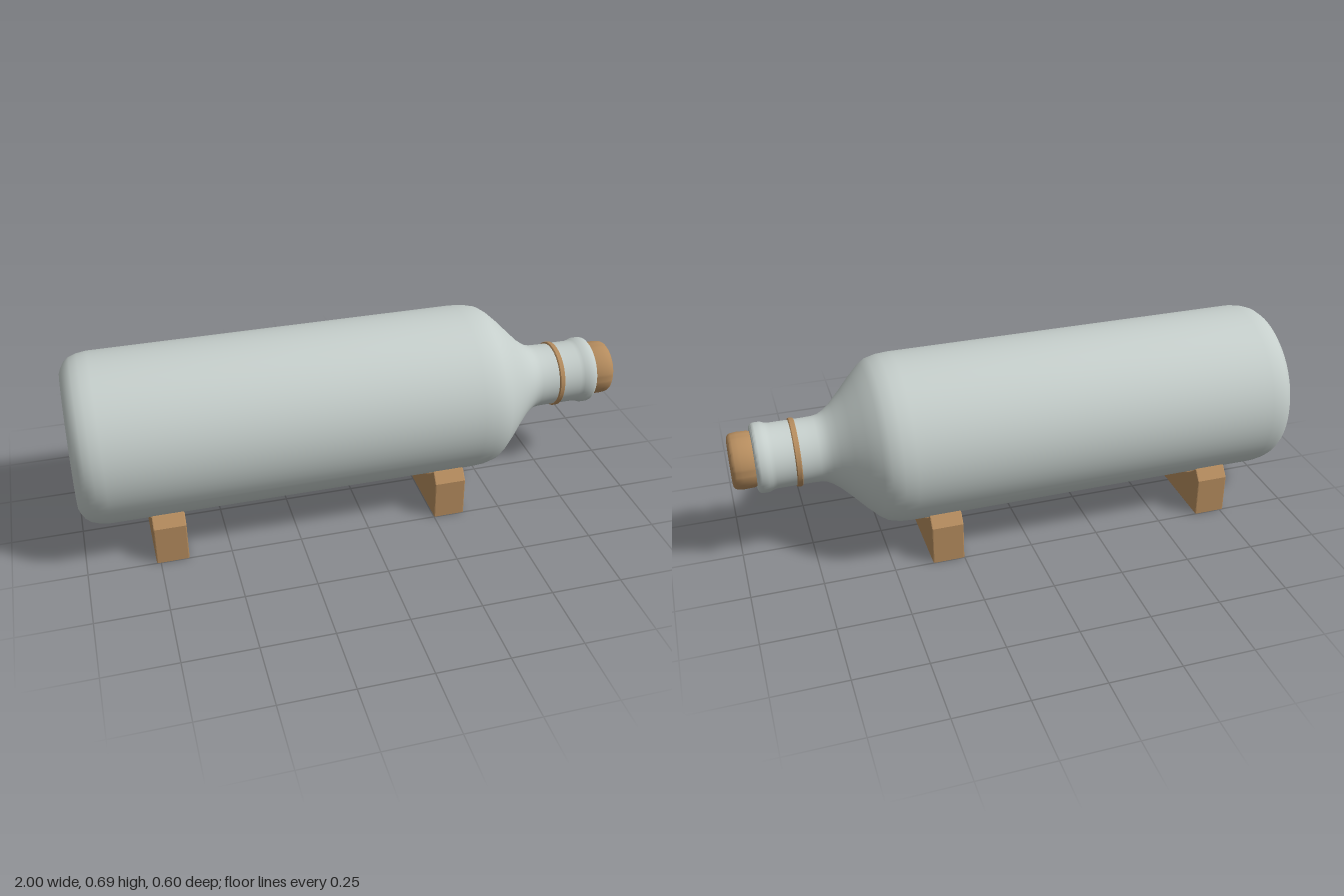
import * as THREE from 'three';
import { toCreasedNormals } from 'three/addons/utils/BufferGeometryUtils.js';

const AXIS_Y = 0.39;

export function createModel() {
  const model = new THREE.Group();
  model.name = 'bottleOnStand';
  const glass = new THREE.MeshStandardMaterial({ color: 0xc5cecb });
  glass.name = 'paleGlass';
  const wood = new THREE.MeshStandardMaterial({ color: 0xb58c5e });
  wood.name = 'wood';

  // Turned part lying along x; profile points are [x, radius]
  function turned(name, profile, material) {
    const points = profile.map(([x, r]) => new THREE.Vector2(r, x));
    const geometry = toCreasedNormals(new THREE.LatheGeometry(points, 64), 0.65);
    const mesh = new THREE.Mesh(geometry, material);
    mesh.name = name;
    mesh.rotation.z = -Math.PI / 2;
    mesh.position.y = AXIS_Y;
    model.add(mesh);
  }

  // Bottle: flat base, rounded heel, straight body, shoulder, neck and lip
  turned('bottle', [
    [-1, 0], [-1, 0.235], [-0.993, 0.252], [-0.98, 0.272], [-0.962, 0.286],
    [-0.935, 0.295], [-0.9, 0.3], [0.41, 0.3], [0.455, 0.297], [0.495, 0.287],
    [0.52, 0.27], [0.56, 0.232], [0.6, 0.189], [0.64, 0.149], [0.665, 0.13],
    [0.685, 0.119], [0.705, 0.115], [0.74, 0.114], [0.855, 0.114],
    [0.87, 0.117], [0.882, 0.122], [0.905, 0.122], [0.914, 0.119],
    [0.919, 0.113], [0.921, 0.105], [0.921, 0.08],
  ], glass);

  // Thin band around the neck
  turned('neckBand', [
    [0.769, 0.112], [0.769, 0.117], [0.772, 0.12], [0.786, 0.12], [0.789, 0.117], [0.789, 0.112],
  ], wood);

  // Stopper with softened ends
  turned('cork', [
    [0.9, 0.09], [0.922, 0.095], [0.93, 0.098], [0.965, 0.099], [0.985, 0.097],
    [0.993, 0.093], [0.998, 0.086], [1, 0.077], [1, 0],
  ], wood);

  // Cradle block with chamfered shoulders and a round saddle
  const radius = 0.302;
  const a = Math.asin((0.179 - AXIS_Y) / radius);
  const outline = new THREE.Shape();
  outline.moveTo(-0.25, 0);
  outline.lineTo(0.25, 0);
  outline.lineTo(0.25, 0.143);
  outline.lineTo(0.222, 0.179);
  outline.absarc(0, AXIS_Y, radius, a, -Math.PI - a, true);
  outline.lineTo(-0.222, 0.179);
  outline.lineTo(-0.25, 0.143);
  outline.closePath();

  const bevel = 0.004;
  const width = 0.114;
  const cradle = new THREE.ExtrudeGeometry(outline, {
    depth: width - 2 * bevel, curveSegments: 32, bevelEnabled: true,
    bevelThickness: bevel, bevelSize: bevel, bevelOffset: -bevel, bevelSegments: 2,
  });
  cradle.translate(0, 0, bevel - width / 2);
  cradle.rotateY(Math.PI / 2);
  [['rearCradle', -0.707], ['neckEndCradle', 0.307]].forEach(([name, x]) => {
    const mesh = new THREE.Mesh(cradle, wood);
    mesh.name = name;
    mesh.position.x = x;
    model.add(mesh);
  });

  return model;
}
